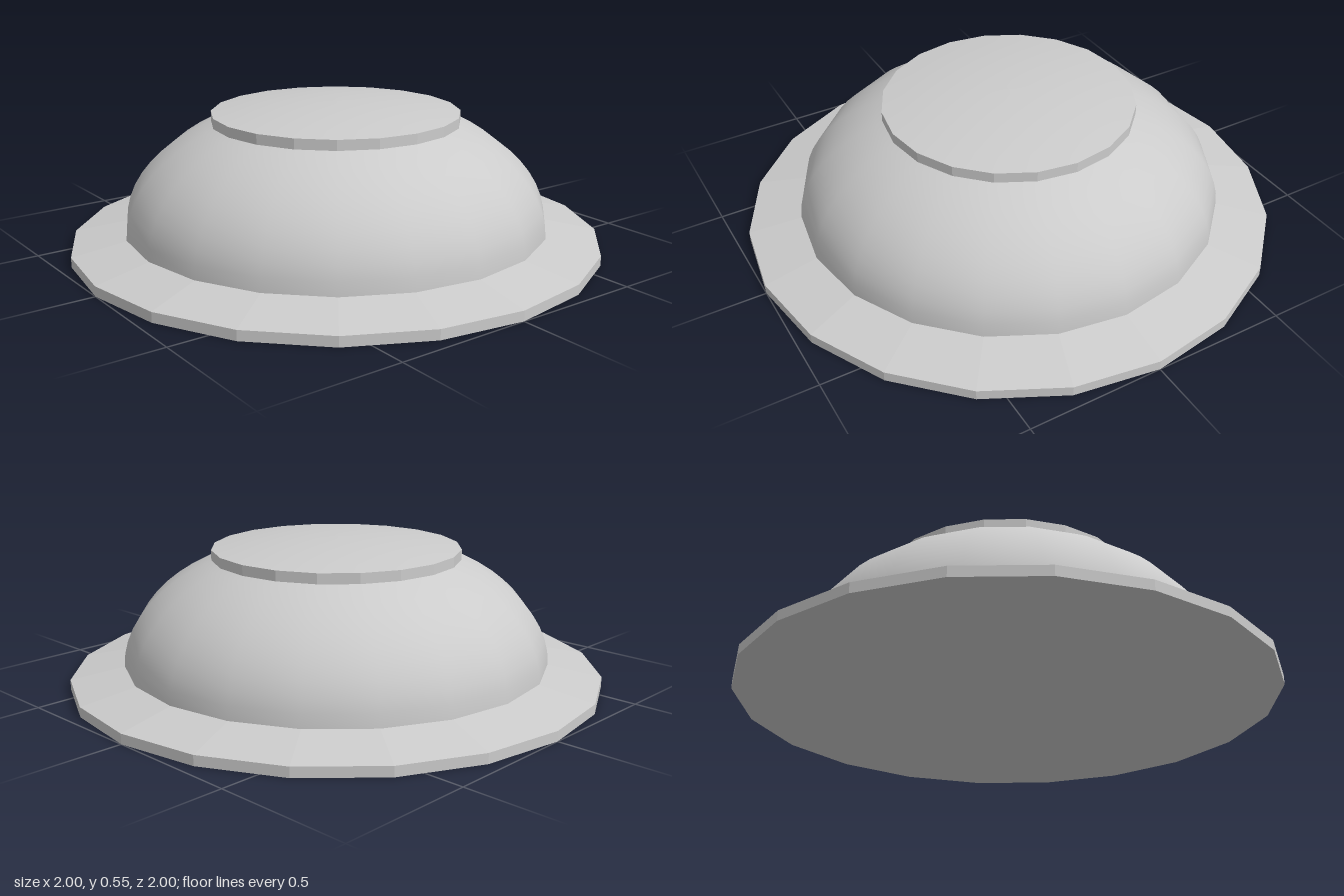
import * as THREE from 'three';

const SIDES = 20;

export function createModel() {
  const group = new THREE.Group();

  // Revolve a list of [radius, height] points, listed bottom to top
  const addLathe = (name, profile, flatShading) => {
    const points = profile.map(([r, y]) => new THREE.Vector2(r, y));
    const material = new THREE.MeshStandardMaterial({ color: 0xcccccc, flatShading });
    const mesh = new THREE.Mesh(new THREE.LatheGeometry(points, SIDES), material);
    mesh.name = name;
    group.add(mesh);
  };

  // Points along an elliptical arc, from angle a0 to a1
  const arc = (rx, ry, y0, a0, a1, steps) =>
    Array.from({ length: steps + 1 }, (_, i) => {
      const a = a0 + ((a1 - a0) * i) / steps;
      return [Math.max(0, rx * Math.cos(a)), y0 + ry * Math.sin(a)];
    });

  // Faceted base flange with a solid underside and sloping top
  addLathe('baseFlange', [[0, 0], [1, 0], [1, 0.037], [0.79, 0.08]], true);

  // Smooth dome, cut off beneath the cap
  addLathe('dome', arc(0.8, 0.48, 0.08, 0, Math.acos(0.43 / 0.8), 10), false);

  // Cap: faceted rim with a gently crowned smooth top
  const capRadius = 0.468;
  addLathe('capRim', [[0.41, 0.47], [capRadius, 0.47], [capRadius, 0.508]], true);
  const crown = Array.from({ length: 7 }, (_, i) => {
    const t = 1 - i / 6;
    return [capRadius * t, 0.545 - 0.037 * t * t];
  });
  addLathe('capTop', crown, false);

  return group;
}
